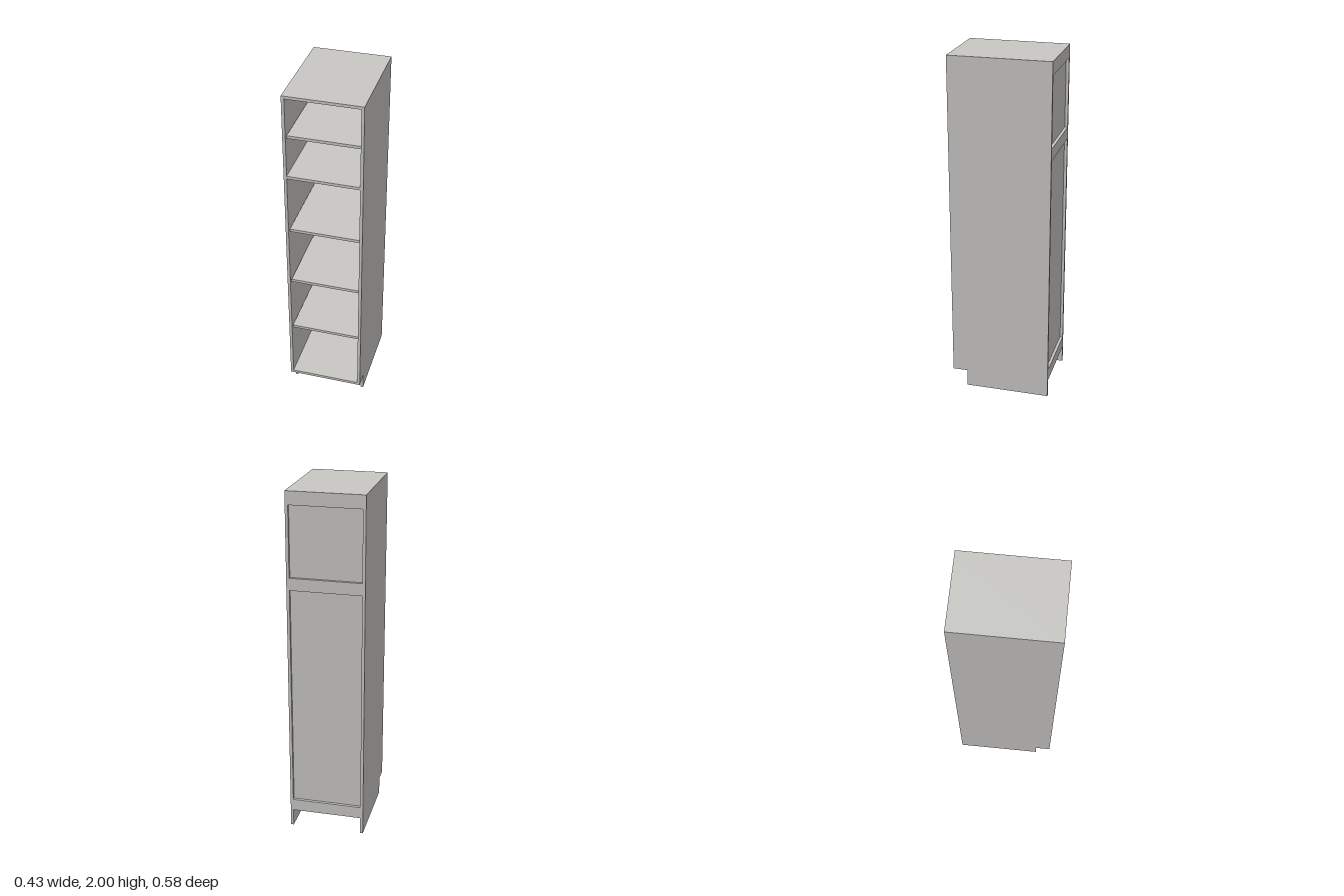
import * as THREE from 'three';

const W = 0.217, D = 0.288, H = 2, T = 0.0165;   // half width, half depth, height, board thickness
const KICK_Y = 0.1, KICK_Z = 0.202;              // toe-kick notch
const INNER = W - T;                             // inner half width

export function createModel() {
  const group = new THREE.Group();
  group.name = 'tallCabinet';
  const board = new THREE.MeshStandardMaterial({ color: 0xc8c7c4 });
  board.name = 'pale grey board';

  // Box given by its extents
  const panel = (name, halfW, y0, y1, z0, z1) => {
    const mesh = new THREE.Mesh(new THREE.BoxGeometry(halfW * 2, y1 - y0, z1 - z0), board);
    mesh.position.set(0, (y0 + y1) / 2, (z0 + z1) / 2);
    mesh.name = name;
    group.add(mesh);
  };

  // Side panels with a toe-kick notch at the lower front (shape x runs along -z)
  const outline = new THREE.Shape([
    [D, 0], [D, H], [-D, H], [-D, KICK_Y], [-KICK_Z, KICK_Y], [-KICK_Z, 0],
  ].map(([x, y]) => new THREE.Vector2(x, y)));
  const sideGeo = new THREE.ExtrudeGeometry(outline, { depth: T, bevelEnabled: false });
  sideGeo.rotateY(Math.PI / 2);
  for (const [name, x] of [['leftSide', INNER], ['rightSide', -W]]) {
    const side = new THREE.Mesh(sideGeo, board);
    side.position.x = x;
    side.name = name;
    group.add(side);
  }

  // Back panel set in behind the rails
  const railZ = -D + T, backZ = railZ + 0.0165;
  panel('backPanel', INNER, KICK_Y + T, H - T, railZ, backZ);

  // Fixed boards
  panel('topBoard', INNER, H - T, H, -D, D);
  panel('bottomBoard', INNER, KICK_Y, KICK_Y + T, -D, D);
  panel('fixedShelf', INNER, 1.508, 1.5245, backZ, D);

  // Rails across the back
  panel('topRail', INNER, 1.925, H - T, -D, railZ);
  panel('middleRail', INNER, 1.457, 1.5265, -D, railZ);
  panel('bottomRail', INNER, KICK_Y + T, 0.17, -D, railZ);

  // Loose shelves, slightly narrower and set back from the front
  for (const y of [0.464, 0.811, 1.164, 1.757]) {
    panel('looseShelf', INNER - 0.003, y - T / 2, y + T / 2, backZ, D - 0.013);
  }
  return group;
}
